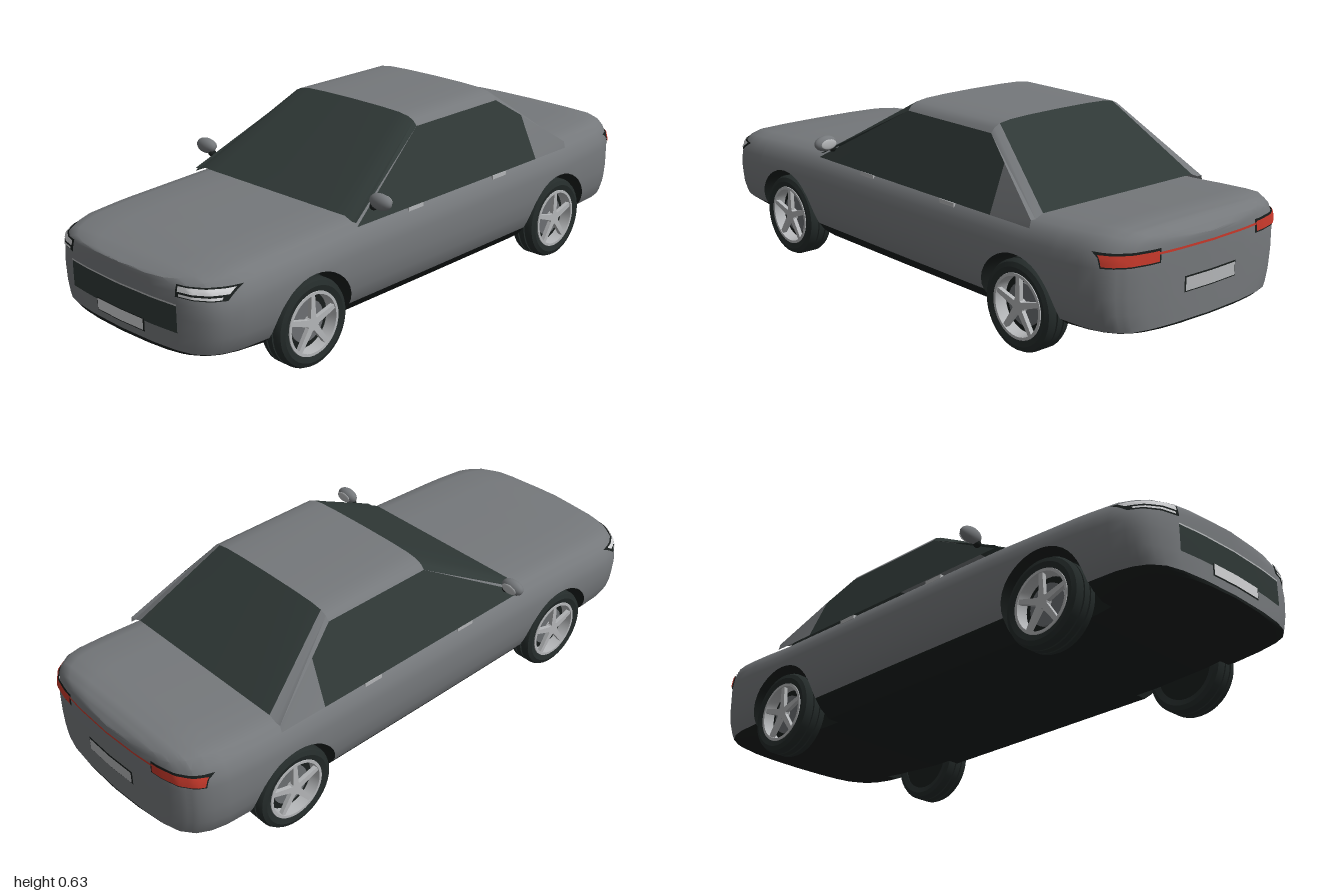
import * as THREE from 'three';
import { toCreasedNormals, mergeGeometries } from 'three/addons/utils/BufferGeometryUtils.js';

const paint = (name, color) => new THREE.MeshStandardMaterial({ name, color, side: THREE.DoubleSide });
const M = {
  body: paint('body grey', 0x75787b), glass: paint('tinted glass', 0x2f3836),
  under: paint('underside black', 0x191e1d), tyre: paint('tyre rubber', 0x242b2a),
  silver: paint('silver', 0xb4b6b8), lamp: paint('lamp white', 0xd2d3d5),
  red: paint('tail red', 0xc8392b), disc: paint('brake grey', 0x6c6f72),
};

// Piecewise linear lookup in ascending [key, value] pairs
const look = (keys, t) => {
  if (t <= keys[0][0]) return keys[0][1];
  for (let i = 1; i < keys.length; i++) {
    const [a, u] = keys[i - 1], [b, v] = keys[i];
    if (t <= b) return u + (v - u) * (b > a ? (t - a) / (b - a) : 1);
  }
  return keys[keys.length - 1][1];
};

// Body rules: plan half-width, top line and floor line along z
const PLAN = [[0, 0.39], [0.75, 0.388], [0.85, 0.383], [0.9, 0.371], [0.94, 0.348], [0.97, 0.305],
  [0.985, 0.245], [0.995, 0.15], [1, 0]];
const TOP = [[-1, 0.39], [-0.98, 0.412], [-0.95, 0.428], [-0.9, 0.435], [-0.63, 0.42], [0.4, 0.41],
  [0.7, 0.398], [0.85, 0.388], [0.95, 0.372], [1, 0.355]];
const FLOOR = [[-1, 0.142], [-0.95, 0.135], [-0.7, 0.105], [-0.5, 0.09], [0.5, 0.09], [0.7, 0.1],
  [0.95, 0.13], [1, 0.138]];
const SILL = 0.147, WHEEL_Z = [0.59, -0.6], WHEEL_Y = 0.14, ARCH = 0.163;

// Half section as [y, fraction of width], from the sill up to the centre line
const section = z => {
  const t = look(TOP, z);
  return [[0.1, 0.9], [0.14, 0.92], [0.165, 0.955], [0.2, 0.985], [0.25, 1], [t - 0.1, 1], [t - 0.07, 0.985],
    [t - 0.035, 0.94], [t - 0.015, 0.875], [t - 0.004, 0.76], [t - 0.001, 0.45], [t, 0]];
};
const halfX = (z, y) => look(PLAN, Math.abs(z)) * look(section(z), y);

// Surface from rows of points
function grid(rows, crease = 0.6) {
  const n = rows[0].length, index = [];
  for (let i = 0; i < rows.length - 1; i++) for (let j = 0; j < n - 1; j++) {
    const a = i * n + j, c = a + n;
    index.push(a, a + 1, c, a + 1, c + 1, c);
  }
  const g = new THREE.BufferGeometry();
  g.setAttribute('position', new THREE.Float32BufferAttribute(rows.flat(2), 3));
  g.setIndex(index);
  return toCreasedNormals(g, crease);
}

function add(parent, name, geo, mat, x = 0, y = 0, z = 0) {
  const m = new THREE.Mesh(geo, mat);
  m.name = name;
  m.position.set(x, y, z);
  parent.add(m);
  return m;
}

const flip = pts => pts.map(([x, y, z]) => [-x, y, z]).reverse();

// Lofted shell with open wheel arches, and dark floor with wheel wells
function buildBody(car) {
  const stations = [1, 0.995, 0.985, 0.97, 0.955, 0.94, 0.92, 0.9, 0.85, 0.8, 0.4, 0.2, 0, -0.2, -0.4,
    -0.8, -0.85, -0.9, -0.92, -0.94, -0.95, -0.96, -0.97, -0.98, -0.985, -0.995, -1].map(z => ({ z, arch: 0 }));
  for (const c of WHEEL_Z) {
    for (const s of [-1, 1]) stations.push({ z: c + s * (ARCH + 0.001), arch: 0 });
    for (let k = 0; k <= 20; k++) {
      const a = Math.PI * k / 20;
      stations.push({ z: c + ARCH * Math.cos(a), arch: WHEEL_Y + ARCH * Math.sin(a) });
    }
  }
  stations.sort((a, b) => b.z - a.z);
  const shell = [], floor = [];
  for (const { z, arch } of stations) {
    const edge = Math.max(SILL, arch), yf = look(FLOOR, z);
    const half = section(z).reverse().map(([y]) => Math.max(y, edge)).map(y => [halfX(z, y), y, z]);
    shell.push([...flip(half), ...half.slice(1)]);
    const e = halfX(z, edge);
    const low = arch
      ? [[e, edge, z], [0.26, edge, z], [0.26, yf, z], [0, yf, z]]
      : [[e, edge, z], [0.94 * e, (edge + yf) / 2, z], [0.83 * e, yf, z], [0, yf, z]];
    floor.push([...low, ...flip(low).slice(1)]);
  }
  add(car, 'bodyShell', grid(shell), M.body);
  add(car, 'underside', grid(floor, 0.5), M.under);
}

// Thin plate that follows the curved nose (end 1) or tail (end -1)
function plate(car, name, mat, end, x0, x1, y0, y1, off) {
  const rows = [], n = 14;
  if (end < 0) [x0, x1] = [x1, x0];
  for (let i = 0; i <= 3; i++) {
    const y = y0 + (y1 - y0) * i / 3, row = [];
    for (let j = 0; j <= n; j++) {
      const x = x0 + (x1 - x0) * j / n;
      let lo = 0.6, hi = 1;
      for (let k = 0; k < 24; k++) {
        const mid = (lo + hi) / 2;
        if (halfX(end * mid, y) >= Math.abs(x)) lo = mid; else hi = mid;
      }
      row.push([x + Math.sign(x) * off * Math.min(1, Math.abs(x) / 0.3), y, end * (lo + off)]);
    }
    rows.push(row);
  }
  add(car, name, grid(rows), mat);
}

function buildCabin(car) {
  // Roof edge profile from the centre outwards
  const edge = [[0, 0.633], [0.12, 0.632], [0.2, 0.629], [0.24, 0.623], [0.262, 0.613], [0.275, 0.598]];
  const arc = z => edge.map(([x, y]) => [x, y, z]);
  const full = h => [...flip(h), ...h.slice(1)];
  const front = arc(0.03), back = arc(-0.37);
  const screenBase = edge.map(([x]) => [x * 1.33, x > 0.25 ? 0.4 : 0.411, 0.4]);
  const rearBase = edge.map(([x]) => [x * 1.33, x > 0.25 ? 0.41 : 0.422, -0.645]);
  add(car, 'roof', grid([full(front), full(back)]), M.body);
  add(car, 'windscreen', grid([full(screenBase), full(front)]), M.glass);
  add(car, 'rearWindow', grid([full(back.slice(0, 4)), full(rearBase.slice(0, 4))]), M.glass);
  for (const s of [1, -1]) {
    const side = s > 0 ? 'left' : 'right';
    const m = pts => pts.map(([x, y, z]) => [s * x, y, z]);
    const strip = (a, b) => s > 0 ? grid([m(a), m(b)]) : grid([m(b), m(a)]);
    add(car, side + 'RearPillar', strip(back.slice(3), rearBase.slice(3)), M.body);
    const top = [[0.275, 0.598, 0.03], [0.275, 0.598, -0.37], [0.309, 0.532, -0.468]];
    const base = [[0.37, 0.388, 0.4], [0.372, 0.388, -0.37], [0.372, 0.388, -0.475]];
    add(car, side + 'SideWindow', strip(top, base), M.glass);
    add(car, side + 'QuarterPanel', strip([top[2], [0.366, 0.41, -0.645]],
      [base[2], [0.372, 0.388, -0.645]]), M.body);
    // Mirror and door handles
    const mirror = new THREE.Group();
    mirror.name = side + 'Mirror';
    mirror.position.set(s * 0.395, 0.454, 0.325);
    add(mirror, 'mirrorHousing', new THREE.SphereGeometry(1, 24, 14).scale(0.042, 0.026, 0.022), M.body);
    add(mirror, 'mirrorGlass', new THREE.SphereGeometry(1, 20, 8).scale(0.03, 0.017, 0.004), M.silver, 0, 0, -0.02);
    add(mirror, 'mirrorStalk', new THREE.SphereGeometry(0.013, 14, 10), M.under, -s * 0.028, -0.02, 0);
    car.add(mirror);
    for (const z of [0.133, -0.277])
      add(car, side + 'DoorHandle', new THREE.BoxGeometry(0.012, 0.013, 0.068), M.silver,
        s * halfX(z, 0.38), 0.38, z);
  }
}

function buildWheel() {
  const w = new THREE.Group();
  const lathe = pts => toCreasedNormals(
    new THREE.LatheGeometry(pts.map(([r, y]) => new THREE.Vector2(r, y)), 40).rotateZ(-Math.PI / 2), 0.6);
  const disc = (r, h, x) => new THREE.CylinderGeometry(r, r, h, 32).rotateZ(-Math.PI / 2).translate(x, 0, 0);
  add(w, 'tyre', lathe([[0.1, -0.04], [0.12, -0.046], [0.134, -0.04], [0.14, -0.028], [0.14, -0.016],
    [0.135, -0.015], [0.135, -0.011], [0.14, -0.01], [0.14, 0.01], [0.135, 0.011], [0.135, 0.015],
    [0.14, 0.016], [0.14, 0.028], [0.134, 0.04], [0.12, 0.046], [0.1, 0.04]]), M.tyre);
  add(w, 'rimRing', lathe([[0.103, 0.036], [0.101, 0.043], [0.092, 0.043], [0.088, 0.005]]), M.silver);
  add(w, 'rimBack', disc(0.102, 0.04, -0.015), M.under);
  add(w, 'brakeDisc', disc(0.066, 0.008, 0.01), M.disc);
  // Tapered spokes and hub
  const parts = [disc(0.022, 0.02, 0.03)];
  for (let k = 0; k < 5; k++) {
    const g = new THREE.BoxGeometry(0.014, 0.086, 0.022), p = g.attributes.position;
    for (let i = 0; i < p.count; i++) if (p.getY(i) > 0) p.setZ(i, p.getZ(i) * 0.65);
    parts.push(g.translate(0.033, 0.053, 0).rotateX(k * Math.PI * 2 / 5));
  }
  add(w, 'spokes', mergeGeometries(parts), M.silver);
  return w;
}

export function createModel() {
  const car = new THREE.Group();
  car.name = 'car';
  buildBody(car);
  buildCabin(car);

  for (const s of [1, -1]) for (const [i, z] of WHEEL_Z.entries()) {
    const w = buildWheel();
    w.name = (i ? 'rear' : 'front') + (s > 0 ? 'Left' : 'Right') + 'Wheel';
    w.position.set(s * 0.335, WHEEL_Y, z);
    if (s < 0) w.rotation.y = Math.PI;
    car.add(w);
  }

  // Nose: grille, number plate
  plate(car, 'grille', M.glass, 1, -0.238, 0.238, 0.204, 0.288, 0.003);
  plate(car, 'grilleTrim', M.silver, 1, -0.238, 0.238, 0.287, 0.292, 0.004);
  plate(car, 'frontPlateFrame', M.under, 1, -0.108, 0.108, 0.171, 0.211, 0.005);
  plate(car, 'frontPlate', M.lamp, 1, -0.103, 0.103, 0.175, 0.21, 0.007);
  // Tail: light bar, number plate
  plate(car, 'tailStripe', M.red, -1, -0.22, 0.22, 0.362, 0.369, 0.003);
  plate(car, 'rearPlateFrame', M.under, -1, -0.108, 0.108, 0.231, 0.279, 0.003);
  plate(car, 'rearPlate', M.silver, -1, -0.103, 0.103, 0.235, 0.275, 0.005);
  // Lamps on both sides
  for (const s of [1, -1]) {
    const lamp = (name, mat, end, a, b, y0, y1, off) =>
      plate(car, name, mat, end, Math.min(s * a, s * b), Math.max(s * a, s * b), y0, y1, off);
    lamp('headlightHousing', M.under, 1, 0.234, 0.362, 0.314, 0.35, 0.003);
    lamp('headlightUpper', M.lamp, 1, 0.24, 0.358, 0.331, 0.347, 0.005);
    lamp('headlightLower', M.lamp, 1, 0.245, 0.352, 0.318, 0.325, 0.005);
    lamp('tailLightHousing', M.under, -1, 0.2, 0.362, 0.338, 0.38, 0.003);
    lamp('tailLight', M.red, -1, 0.205, 0.36, 0.343, 0.374, 0.005);
  }
  return car;
}
